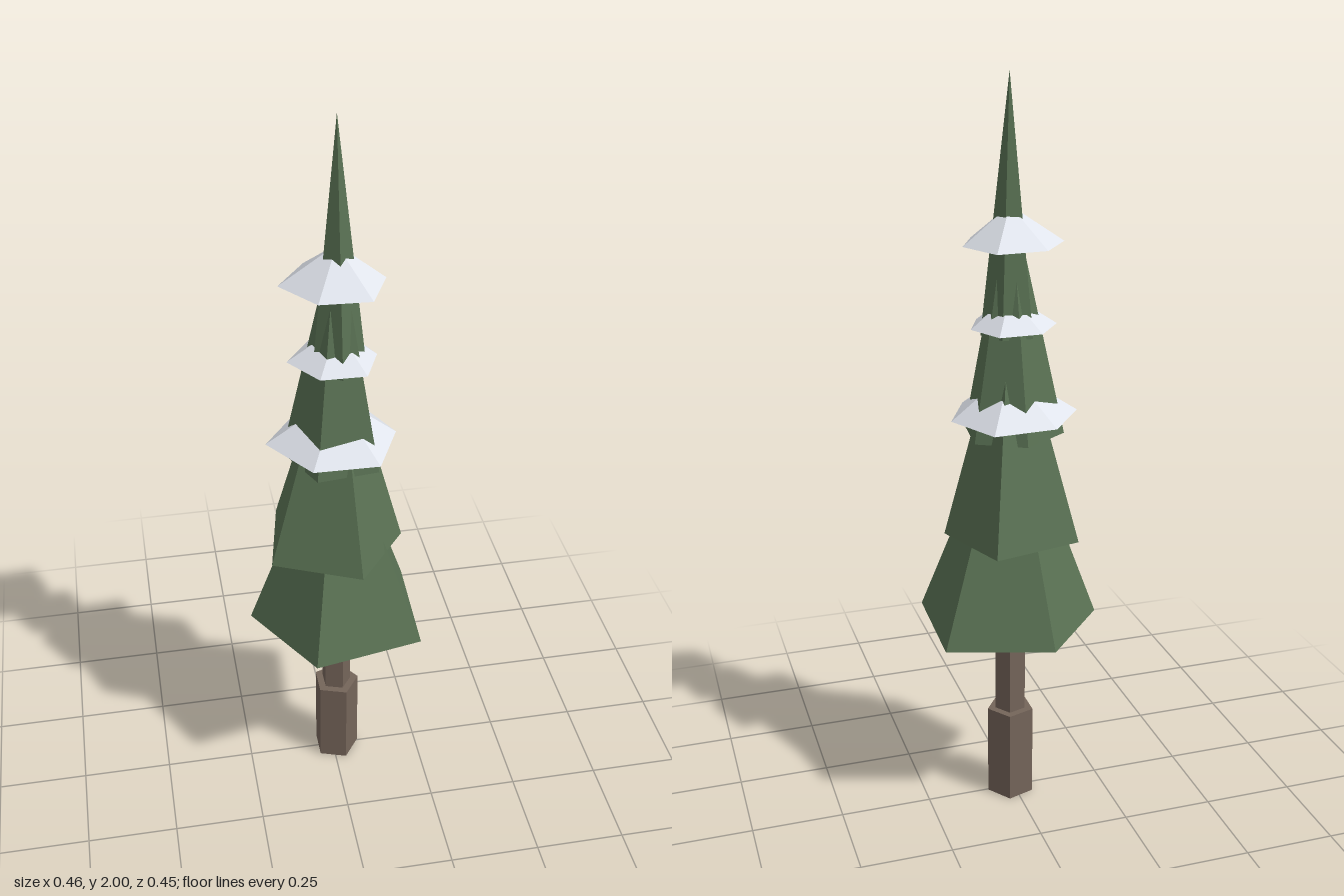
import * as THREE from 'three';

const CX = 0.01, CZ = -0.003;

// Open faceted cone whose rim corners each have their own radius
function raggedCone(radii, turnDegrees, height) {
  const n = radii.length;
  const corner = (k) => {
    const a = THREE.MathUtils.degToRad(turnDegrees) + (k * Math.PI * 2) / n;
    const r = radii[k % n];
    return [r * Math.cos(a), 0, r * Math.sin(a)];
  };
  const points = [];
  for (let k = 0; k < n; k++) points.push(...corner(k), 0, height, 0, ...corner(k + 1));
  const geometry = new THREE.BufferGeometry();
  geometry.setAttribute('position', new THREE.Float32BufferAttribute(points, 3));
  geometry.computeVertexNormals();
  return geometry;
}

export function createModel() {
  const tree = new THREE.Group();
  tree.name = 'snowyPine';

  const paint = (color, side = THREE.FrontSide) =>
    new THREE.MeshStandardMaterial({ color, flatShading: true, side });
  const bark = paint(0x75655a);
  const needles = paint(0x5a7254, THREE.DoubleSide);
  const snow = paint(0xe0e4ec, THREE.DoubleSide);

  const add = (name, geometry, material, y) => {
    const mesh = new THREE.Mesh(geometry, material);
    mesh.name = name;
    mesh.position.set(CX, y, CZ);
    tree.add(mesh);
  };

  // Five-sided trunk: thick foot and thinner stem, one corner towards +x
  const post = (radius, height) =>
    new THREE.CylinderGeometry(radius, radius, height, 5, 1, false, Math.PI / 2)
      .translate(0, height / 2, 0);
  add('trunkFoot', post(0.066, 0.265), bark, 0);
  add('trunkStem', post(0.043, 0.535), bark, 0.265);

  // Branch tiers, each turned 40 degrees from the one below
  const tiers = [
    [0.271, 0.248, 0.242, 0.23, 0.259],
    [0.206, 0.217, 0.202, 0.215, 0.178],
    [0.14, 0.143, 0.118, 0.121, 0.14],
    [0.07, 0.072, 0.065, 0.076, 0.079],
  ];
  const turns = [40, 80, 120, 160];
  // Radii of the third tier start at its 120 degree corner
  tiers.forEach((radii, i) =>
    add(`branchTier${i + 1}`, raggedCone(radii, turns[i], 0.657), needles, 0.535 + i * 0.2695));

  // Six-sided snow caps
  const caps = [
    { y: 1.125, height: 0.125, radii: [0.159, 0.174, 0.171, 0.186, 0.163, 0.175] },
    { y: 1.365, height: 0.085, radii: [0.104, 0.119, 0.117, 0.127, 0.112, 0.116] },
    { y: 1.578, height: 0.098, radii: [0.123, 0.136, 0.128, 0.145, 0.128, 0.139] },
  ];
  caps.forEach(({ y, height, radii }, i) =>
    add(`snowCap${i + 1}`, raggedCone(radii, 0, height), snow, y));

  return tree;
}
